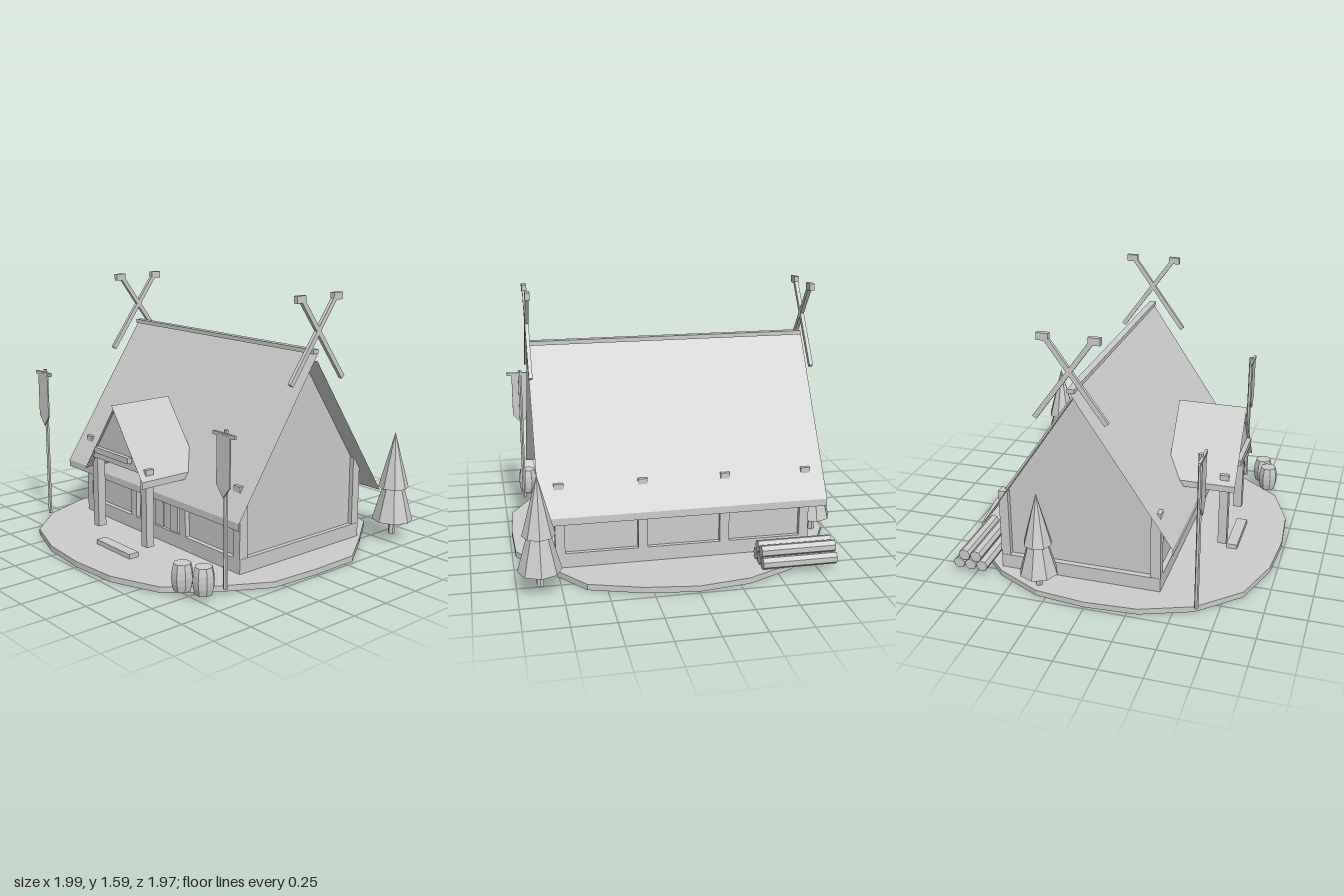
import * as THREE from 'three';

const stone = new THREE.MeshStandardMaterial({ color: 0xcccccc });
stone.name = 'paleGrey';
const MID_Z = -0.107; // ridge line of the hall
const MID_X = 0.005;
const GROUND = 0.035;

// Faceted mesh with one normal per face
function part(parent, name, geometry, x = 0, y = 0, z = 0) {
  const g = geometry.index ? geometry.toNonIndexed() : geometry;
  g.computeVertexNormals();
  const mesh = new THREE.Mesh(g, stone);
  mesh.name = name;
  mesh.position.set(x, y, z);
  parent.add(mesh);
  return mesh;
}

// Box given by its lower and upper limits
function block(parent, name, x0, x1, y0, y1, z0, z1) {
  return part(parent, name, new THREE.BoxGeometry(x1 - x0, y1 - y0, z1 - z0),
    (x0 + x1) / 2, (y0 + y1) / 2, (z0 + z1) / 2);
}

function group(parent, name, x = 0, y = 0, z = 0) {
  const g = new THREE.Group();
  g.name = name;
  g.position.set(x, y, z);
  parent.add(g);
  return g;
}

function extrude(points, depth) {
  const shape = new THREE.Shape(points.map(([x, y]) => new THREE.Vector2(x, y)));
  return new THREE.ExtrudeGeometry(shape, { depth, bevelEnabled: false }).translate(0, 0, -depth / 2);
}

// Folded roof sheet with vertical eaves and open ends
function roofSheet(halfWidth, eave, top, drop, length) {
  const full = extrude([[-halfWidth, eave - drop], [0, top - drop], [halfWidth, eave - drop],
    [halfWidth, eave], [0, top], [-halfWidth, eave]], length);
  const sides = full.groups[1];
  const pos = full.attributes.position.array.slice(sides.start * 3, (sides.start + sides.count) * 3);
  const g = new THREE.BufferGeometry();
  g.setAttribute('position', new THREE.BufferAttribute(pos, 3));
  return g;
}

function addGround(root) {
  const radii = [0.985, 1.01, 1.04, 1.0, 1.015, 0.985, 1.03, 0.99, 1.04, 0.99,
    0.985, 0.99, 1.0, 1.0, 1.0, 0.985, 1.015, 1.05, 1.06, 1.01];
  const outline = radii.map((r, i) => {
    const a = i * Math.PI / 10;
    return [r * Math.sin(a), -r * Math.cos(a)];
  });
  part(root, 'ground', extrude(outline, GROUND).rotateX(-Math.PI / 2), 0, GROUND / 2, 0);
}

function addHall(root) {
  const hall = group(root, 'hall');
  block(hall, 'plinth', -0.76, 0.765, GROUND, 0.122, -0.6, 0.39);

  // Walls and gables in one prism
  const wall = extrude([[-0.466, 0.12], [0.466, 0.12], [0.466, 0.55], [0, 1.24], [-0.466, 0.55]], 1.46);
  part(hall, 'walls', wall.rotateY(Math.PI / 2), MID_X, 0, MID_Z);

  // Posts whose heads break through the roof
  for (const x of [-0.73, -0.24, 0.25, 0.735]) {
    block(hall, 'frontPost', x - 0.028, x + 0.028, 0.12, 0.55, 0.33, 0.39);
    block(hall, 'backPost', x - 0.028, x + 0.028, 0.12, 0.55, -0.602, -0.545);
  }

  const roof = roofSheet(0.587, 0.38, 1.255, 0.043, 1.695).rotateY(Math.PI / 2);
  part(hall, 'roof', roof, 0.008, 0, MID_Z);
  block(hall, 'ridgeBeam', -0.83, 0.84, 1.253, 1.278, MID_Z - 0.021, MID_Z + 0.021);

  // Door with jambs
  block(hall, 'door', -0.107, 0.117, 0.12, 0.45, 0.35, 0.37);
  for (const x of [-0.145, 0.155]) block(hall, 'doorJamb', x - 0.038, x + 0.038, 0.12, 0.45, 0.35, 0.38);
  block(hall, 'doorPlank', -0.037, 0.047, 0.12, 0.45, 0.36, 0.376);

  // Round shields hung under the front eaves
  for (const x of [-0.56, -0.38, 0.385, 0.57]) {
    part(hall, 'shield', new THREE.CylinderGeometry(0.085, 0.085, 0.02, 10).rotateX(Math.PI / 2),
      x, 0.378, 0.372);
  }
}

function addPorch(root) {
  const porch = group(root, 'porch');
  part(porch, 'porchRoof', roofSheet(0.29, 0.53, 0.93, 0.04, 0.42), MID_X, 0, 0.508);
  part(porch, 'pediment', extrude([[-0.24, 0.572], [0.24, 0.572], [0, 0.92]], 0.02), MID_X, 0, 0.69);
  for (const x of [-0.24, 0.25]) {
    block(porch, 'porchPost', x - 0.026, x + 0.026, 0.122, 0.59, 0.622, 0.676);
  }
  block(porch, 'pedimentBoard', -0.165, 0.172, 0.615, 0.65, 0.698, 0.728);
  block(porch, 'step', -0.165, 0.172, 0.001, 0.064, 0.66, 0.727);
}

// Crossed beams with block heads above each gable
function addFinials(root) {
  for (const x of [-0.838, 0.851]) {
    const finial = group(root, 'gableCross', x, 1.385, MID_Z);
    for (const side of [-1, 1]) {
      const beam = part(finial, 'crossBeam', new THREE.BoxGeometry(0.022, 0.59, 0.028),
        0, -0.07, side * -0.021);
      const angle = Math.atan2(0.342, 0.47);
      beam.rotation.x = side * angle;
      const along = -0.06;
      beam.position.set(0, along * Math.cos(angle), side * along * Math.sin(angle));
      part(finial, 'beamHead', new THREE.BoxGeometry(0.028, 0.042, 0.07), 0, 0.187, side * 0.146);
    }
  }
}

function addBanner(root, x, barY, z) {
  const banner = group(root, 'bannerStand', x, 0, z);
  const top = barY + 0.025;
  part(banner, 'pole', new THREE.CylinderGeometry(0.013, 0.013, top - GROUND, 6), 0, (top + GROUND) / 2, 0);
  block(banner, 'crossBar', -0.087, 0.087, barY - 0.01, barY + 0.01, 0.004, 0.02);
  const cloth = extrude([[-0.054, 0], [-0.054, -0.28], [0, -0.345], [0.054, -0.28], [0.054, 0]], 0.009);
  part(banner, 'cloth', cloth, 0, barY, 0.017);
}

function addTree(root, x, z, s) {
  const tree = group(root, 'tree', x, GROUND, z);
  tree.scale.setScalar(s);
  part(tree, 'trunk', new THREE.CylinderGeometry(0.022, 0.022, 0.12, 6), 0, 0.06, 0);
  part(tree, 'lowerBranches', new THREE.ConeGeometry(0.126, 0.445, 8), 0, 0.3175, 0);
  part(tree, 'upperBranches', new THREE.ConeGeometry(0.094, 0.35, 8), 0, 0.48, 0);
}

function addBarrel(root, x, z) {
  const profile = [[0, 0], [0.05, 0], [0.06, 0.04], [0.063, 0.078], [0.06, 0.115], [0.05, 0.157], [0, 0.157]];
  const g = new THREE.LatheGeometry(profile.map(([r, y]) => new THREE.Vector2(r, y)), 8, Math.PI / 8);
  part(root, 'barrel', g, x, GROUND, z);
}

function addLogs(root) {
  const pile = group(root, 'logPile', -0.628, GROUND, -0.77);
  for (const [y, z] of [[0.035, -0.073], [0.035, 0], [0.035, 0.073], [0.095, -0.037], [0.095, 0.037]]) {
    part(pile, 'log', new THREE.CylinderGeometry(0.036, 0.036, 0.446, 7).rotateZ(Math.PI / 2), 0, y, z);
  }
}

export function createModel() {
  const root = new THREE.Group();
  root.name = 'timberHall';
  addGround(root);
  addHall(root);
  addPorch(root);
  addFinials(root);
  addBanner(root, -0.86, 0.985, 0.63);
  addBanner(root, 0.868, 0.905, 0.588);
  addTree(root, 0.87, -0.805, 1);
  addTree(root, -0.88, -0.315, 0.92);
  addBarrel(root, 0.72, 0.77);
  addBarrel(root, 0.835, 0.715);
  addLogs(root);
  return root;
}
